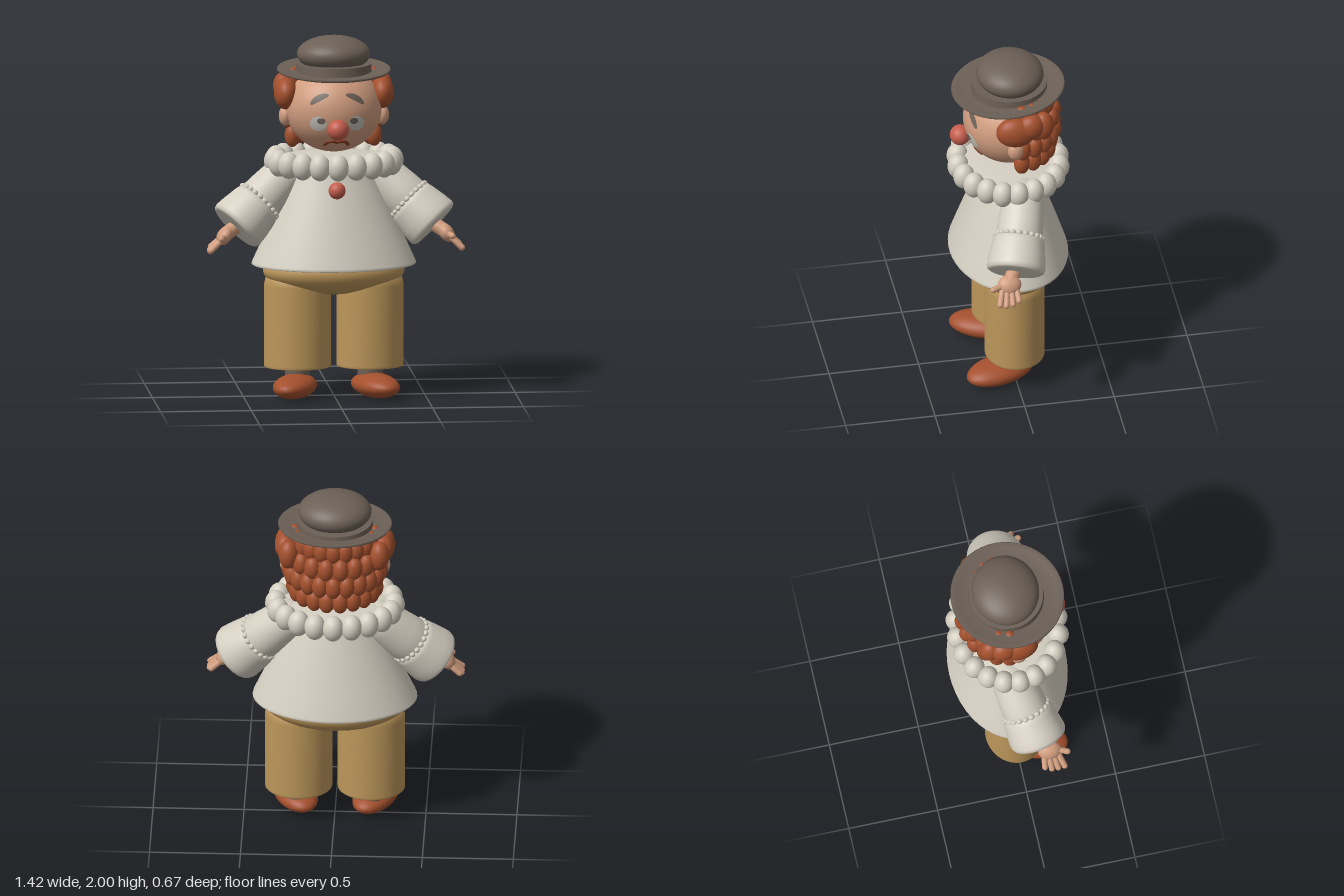
import * as THREE from 'three';

const mat = (name, color) => Object.assign(new THREE.MeshStandardMaterial({ color }), { name });
const V = (x, y, z) => new THREE.Vector3(x, y, z);

export function createModel() {
  const model = new THREE.Group();
  model.name = 'clownFigure';
  const cloth = mat('creamCloth', 0xd4cec1);
  const tan = mat('tanTrousers', 0xbc965a);
  const skin = mat('skin', 0xd09c7e);
  const rust = mat('rustHair', 0xa4502d);
  const felt = mat('greyBrownFelt', 0x6c6056);
  const red = mat('softRed', 0xc45d4c);
  const white = mat('eyeWhite', 0xc2c0b8);
  const dark = mat('mouthBrown', 0x86391f);

  const add = (name, geo, material, parent = model) => {
    const mesh = new THREE.Mesh(geo, material);
    mesh.name = name;
    parent.add(mesh);
    return mesh;
  };
  const group = (name) => {
    const g = new THREE.Group();
    g.name = name;
    model.add(g);
    return g;
  };
  const ball = (name, material, [x, y, z], [rx, ry, rz], parent, seg = 24) => {
    const mesh = add(name, new THREE.SphereGeometry(1, seg, Math.round(seg * 0.67)), material, parent);
    mesh.position.set(x, y, z);
    mesh.scale.set(rx, ry, rz);
    return mesh;
  };
  const lathe = (name, material, pts, parent) =>
    add(name, new THREE.LatheGeometry(pts.map((p) => new THREE.Vector2(...p)), 48), material, parent);
  // Rounded finger-like rod between two points
  const rod = (name, material, a, b, r, parent) => {
    const mesh = add(name, new THREE.CapsuleGeometry(r, a.distanceTo(b), 6, 12), material, parent);
    mesh.position.copy(a).lerp(b, 0.5);
    mesh.quaternion.setFromUnitVectors(V(0, 1, 0), b.clone().sub(a).normalize());
    return mesh;
  };

  // Hips and shirt
  ball('hips', tan, [0, 0.7, 0], [0.39, 0.133, 0.245], model, 40);
  const shirt = lathe('shirt', cloth, [
    [0, 0.74], [0.42, 0.735], [0.447, 0.733], [0.453, 0.738], [0.45, 0.75], [0.4, 0.86],
    [0.32, 1.03], [0.245, 1.19], [0.2, 1.28], [0.18, 1.34], [0, 1.36],
  ]);
  shirt.scale.z = 0.72;
  ball('shirtButton', red, [0, 1.17, 0.203], [0.047, 0.047, 0.047]);

  // Gathered collar
  const ruff = group('ruffCollar');
  ball('ruffCore', cloth, [0, 1.31, 0], [0.34, 0.045, 0.29], ruff, 40);
  for (let i = 0; i < 20; i++) {
    const a = (i / 20) * Math.PI * 2;
    const bead = ball('ruffPleat', cloth, [Math.sin(a) * 0.325, 1.308, Math.cos(a) * 0.278],
      [0.058, 0.074, 0.06], ruff, 18);
    bead.rotation.y = a;
  }

  // Legs, ankles, shoes, arms and hands, mirrored
  for (const s of [-1, 1]) {
    const side = s > 0 ? 'left' : 'right';
    const leg = lathe(side + 'TrouserLeg', tan, [
      [0, 0.165], [0.17, 0.165], [0.181, 0.165], [0.185, 0.169], [0.185, 0.18], [0.185, 0.62],
      [0.175, 0.665], [0.14, 0.695], [0, 0.71],
    ]);
    leg.position.x = s * 0.2;
    leg.scale.z = 0.89;
    const ankle = add(side + 'Ankle', new THREE.CylinderGeometry(0.07, 0.07, 0.12, 24), felt);
    ankle.position.set(s * 0.2, 0.14, 0.003);
    const shoe = ball(side + 'Shoe', rust, [s * 0.222, 0.068, 0.085], [0.113, 0.066, 0.204], model, 32);
    shoe.rotation.y = s * 0.36;

    // Sleeve runs from shoulder to wrist with a wide cuff
    const arm = group(side + 'Arm');
    const shoulder = V(s * 0.22, 1.27, -0.05), wrist = V(s * 0.55, 0.95, 0.06);
    const sleeve = new THREE.Group();
    sleeve.name = 'sleeve';
    sleeve.position.copy(shoulder);
    sleeve.quaternion.setFromUnitVectors(V(0, 1, 0), wrist.clone().sub(shoulder).normalize());
    arm.add(sleeve);
    lathe('upperSleeve', cloth, [
      [0, -0.06], [0.06, -0.045], [0.1, 0], [0.115, 0.08], [0.126, 0.2], [0.13, 0.27], [0.12, 0.3], [0, 0.31],
    ], sleeve);
    lathe('cuff', cloth, [
      [0, 0.27], [0.12, 0.272], [0.138, 0.285], [0.145, 0.31], [0.158, 0.4], [0.162, 0.445],
      [0.157, 0.465], [0.14, 0.475], [0, 0.477],
    ], sleeve);
    for (let i = 0; i < 22; i++) {
      const a = (i / 22) * Math.PI * 2;
      ball('cuffScallop', cloth, [Math.sin(a) * 0.126, 0.274, Math.cos(a) * 0.126], [0.018, 0.016, 0.018], sleeve, 10);
    }
    // Hand: wrist, palm, four fingers, thumb
    const hand = new THREE.Group();
    hand.name = side + 'Hand';
    arm.add(hand);
    rod('wrist', skin, V(s * 0.55, 0.955, 0.07), V(s * 0.6, 0.925, 0.1), 0.04, hand);
    const palm = ball('palm', skin, [s * 0.612, 0.913, 0.105], [0.04, 0.056, 0.066], hand);
    palm.rotation.z = s * 0.6;
    for (let i = 0; i < 4; i++) {
      const tip = [0.84, 0.832, 0.836, 0.85][i];
      rod('finger', skin, V(s * 0.63, 0.895, 0.148 - i * 0.026),
        V(s * (0.693 - (i === 3 ? 0.01 : 0)), tip, 0.172 - i * 0.036), 0.0165, hand);
    }
    rod('thumb', skin, V(s * 0.615, 0.915, 0.14), V(s * 0.638, 0.908, 0.2), 0.017, hand);
  }

  // Head, ears and nose
  const R = [0.265, 0.24, 0.247], headY = 1.6;
  ball('head', skin, [0, headY, 0], R, model, 48);
  const onFace = (x, y, lift = 0.004) =>
    V(x, y, R[2] * Math.sqrt(Math.max(0, 1 - (x / R[0]) ** 2 - ((y - headY) / R[1]) ** 2)) + lift);
  ball('nose', red, [0, 1.518, 0.268], [0.059, 0.057, 0.057], model, 28);

  // Thin oval wrapped on the face
  const facePatch = (name, material, cx, cy, rx, ry, turn, lift, bend = 0) => {
    const geo = new THREE.RingGeometry(0.001, 1, 28, 5);
    const p = geo.attributes.position;
    for (let i = 0; i < p.count; i++) {
      const u = p.getX(i) * rx, v = p.getY(i) * ry - bend * p.getX(i) ** 2;
      const q = onFace(cx + u * Math.cos(turn) - v * Math.sin(turn), cy + u * Math.sin(turn) + v * Math.cos(turn), lift);
      p.setXYZ(i, q.x, q.y, q.z);
    }
    geo.computeVertexNormals();
    return add(name, geo, material);
  };
  for (const s of [-1, 1]) {
    const side = s > 0 ? 'left' : 'right';
    ball(side + 'Ear', skin, [s * 0.268, 1.56, 0.005], [0.036, 0.056, 0.045]);
    facePatch(side + 'Eye', white, s * 0.105, 1.547, 0.045, 0.042, 0, 0.005);
    facePatch(side + 'Pupil', felt, s * 0.09, 1.563, 0.023, 0.017, 0, 0.009);
    facePatch(side + 'Eyebrow', felt, s * 0.102, 1.688, 0.058, 0.016, -s * 0.5, 0.006, 0.01);
  }
  const frown = [[-0.066, 1.42], [-0.045, 1.44], [-0.018, 1.444], [0, 1.437], [0.018, 1.444], [0.045, 1.44], [0.066, 1.42]];
  add('frownMouth', new THREE.TubeGeometry(
    new THREE.CatmullRomCurve3(frown.map(([x, y]) => onFace(x, y, 0))), 32, 0.01, 8), dark);

  // Curly hair: core, rows of curls round the back, side tufts
  const hair = group('hair');
  ball('hairCore', rust, [0, 1.6, -0.045], [0.25, 0.215, 0.222], hair, 32);
  const rows = [[1.755, 0.88], [1.655, 0.98], [1.55, 1], [1.445, 0.9]];
  rows.forEach(([y, k], r) => {
    const n = 11 - (r % 2);
    for (let i = 0; i < n; i++) {
      const a = (i / (n - 1) - 0.5) * 2.95;
      const curl = ball('curl', rust, [Math.sin(a) * 0.252 * k, y, -0.015 - Math.cos(a) * 0.238 * k],
        [0.045, 0.066, 0.042], hair, 16);
      curl.rotation.y = -a;
    }
  });
  for (const s of [-1, 1]) {
    const tuft = ball('sideTuft', rust, [s * 0.265, 1.685, 0.005], [0.065, 0.09, 0.11], hair);
    tuft.rotation.x = -0.15;
    ball('sideTuftBack', rust, [s * 0.268, 1.715, -0.08], [0.06, 0.075, 0.075], hair);
    ball('sideTuftRear', rust, [s * 0.25, 1.7, -0.15], [0.055, 0.085, 0.06], hair);
  }

  // Bowler hat with a dished brim, tipped forward
  const hat = group('hat');
  const brim = lathe('hatBrim', felt, [
    [0, -0.012], [0.2, -0.012], [0.28, -0.006], [0.308, 0.002], [0.314, 0.01], [0.308, 0.017],
    [0.28, 0.01], [0.22, 0.003], [0, 0.003],
  ], hat);
  brim.position.y = 1.806;
  brim.rotation.x = 0.07;
  const band = add('hatBand', new THREE.CylinderGeometry(0.206, 0.21, 0.05, 48), felt, hat);
  band.position.set(0, 1.821, -0.008);
  ball('hatCrown', felt, [0, 1.9, -0.01], [0.202, 0.1, 0.185], hat, 40);
  return model;
}
